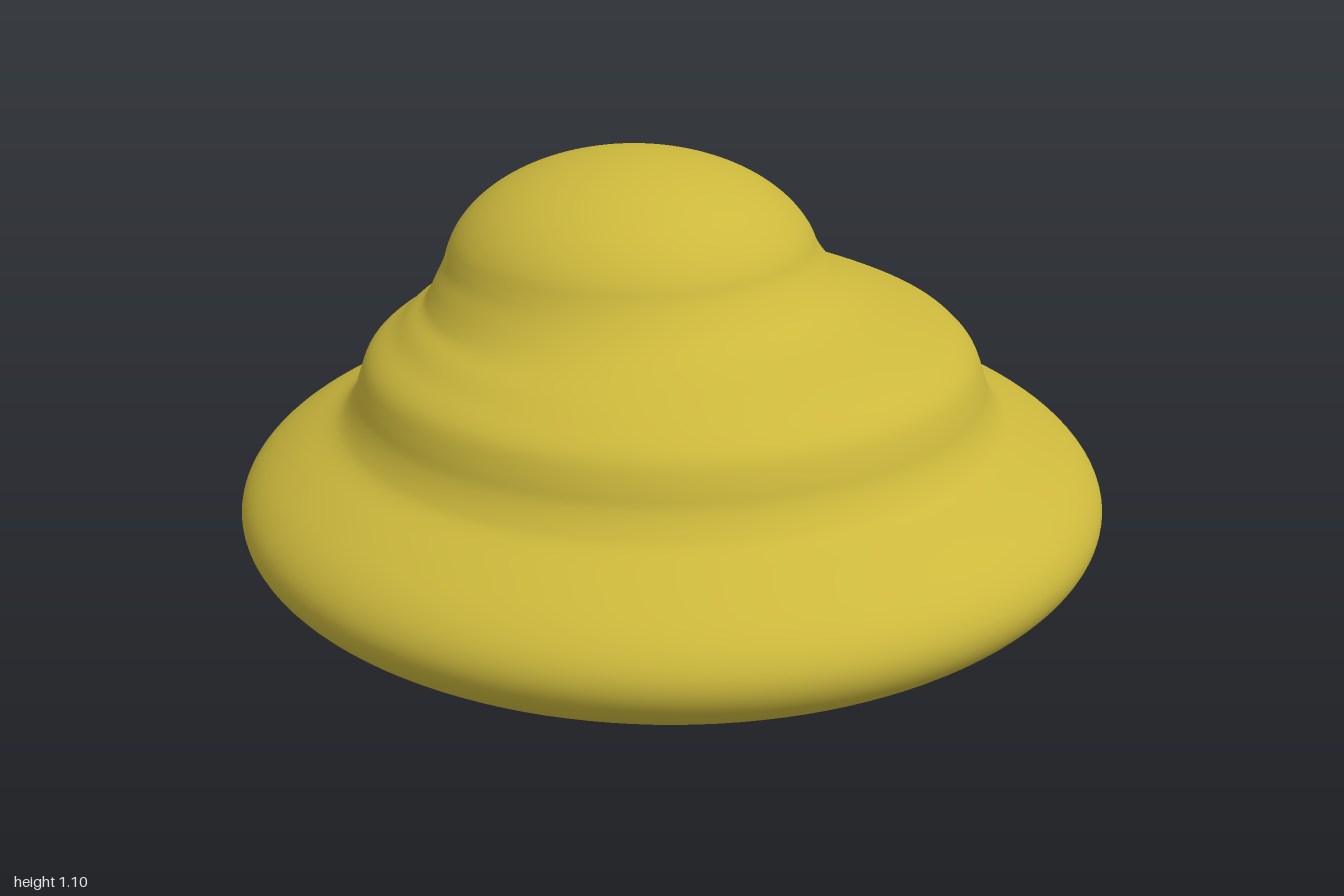
import * as THREE from 'three';
import { mergeVertices } from 'three/addons/utils/BufferGeometryUtils.js';

// Cross-sections, bottom to top: [height, radius, centre x, centre z]
function bodySections() {
  const sections = [];
  // Wide lower disc: an ellipsoid arc from the bottom pole past its rim
  for (let i = 0; i <= 12; i++) {
    const a = -Math.PI / 2 + (i / 12) * (Math.PI / 2 + 0.52);
    sections.push([0.3 + 0.3 * Math.sin(a), Math.cos(a), 0, 0]);
  }
  // Middle tier and the soft creases around it
  sections.push(
    [0.49, 0.785, 0.005, 0.005],
    [0.52, 0.75, 0.01, 0.01],
    [0.56, 0.728, 0.01, 0.01],
    [0.6, 0.715, 0.012, 0.012],
    [0.645, 0.698, 0.013, 0.013],
    [0.675, 0.674, 0.015, 0.013],
    [0.705, 0.635, 0.015, 0.01],
    [0.735, 0.585, 0, 0.02],
    [0.76, 0.535, -0.015, 0.03],
    [0.785, 0.495, -0.035, 0.045],
    [0.815, 0.463, -0.05, 0.055],
    [0.85, 0.438, -0.058, 0.058],
  );
  // Off-centre dome: an ellipsoid arc up to the top pole
  for (let i = 0; i <= 10; i++) {
    const a = 0.2 + (i / 10) * (Math.PI / 2 - 0.2);
    sections.push([0.83 + 0.267 * Math.sin(a), 0.43 * Math.cos(a), -0.065, 0.06]);
  }
  return sections;
}

// Skins smooth rings through the sections
function loftRings(sections, rows, sides) {
  const spline = (pts) => new THREE.CatmullRomCurve3(pts, false, 'catmullrom', 0.5);
  const profile = spline(sections.map(([y, r]) => new THREE.Vector3(r, y, 0)));
  const centres = spline(sections.map(([, , x, z]) => new THREE.Vector3(x, 0, z)));
  const positions = [], index = [];
  for (let j = 0; j <= rows; j++) {
    const p = profile.getPoint(j / rows), c = centres.getPoint(j / rows);
    const r = j === 0 || j === rows ? 0 : Math.max(p.x, 0);
    for (let i = 0; i < sides; i++) {
      const a = (i / sides) * Math.PI * 2;
      positions.push(c.x + r * Math.sin(a), p.y, c.z + r * Math.cos(a));
      if (j === rows) continue;
      const a0 = j * sides + i, b0 = j * sides + ((i + 1) % sides);
      if (j > 0) index.push(a0, b0, b0 + sides);
      if (j < rows - 1 || j === 0) index.push(a0, b0 + sides, a0 + sides);
    }
  }
  const geometry = new THREE.BufferGeometry();
  geometry.setAttribute('position', new THREE.Float32BufferAttribute(positions, 3));
  geometry.setIndex(index);
  // Weld the poles so they shade smoothly
  const welded = mergeVertices(geometry, 1e-5);
  welded.computeVertexNormals();
  return welded;
}

export function createModel() {
  const group = new THREE.Group();
  const body = new THREE.Mesh(
    loftRings(bodySections(), 140, 128),
    new THREE.MeshStandardMaterial({ color: 0xccb83c }),
  );
  body.name = 'tieredMound';
  group.add(body);
  return group;
}
